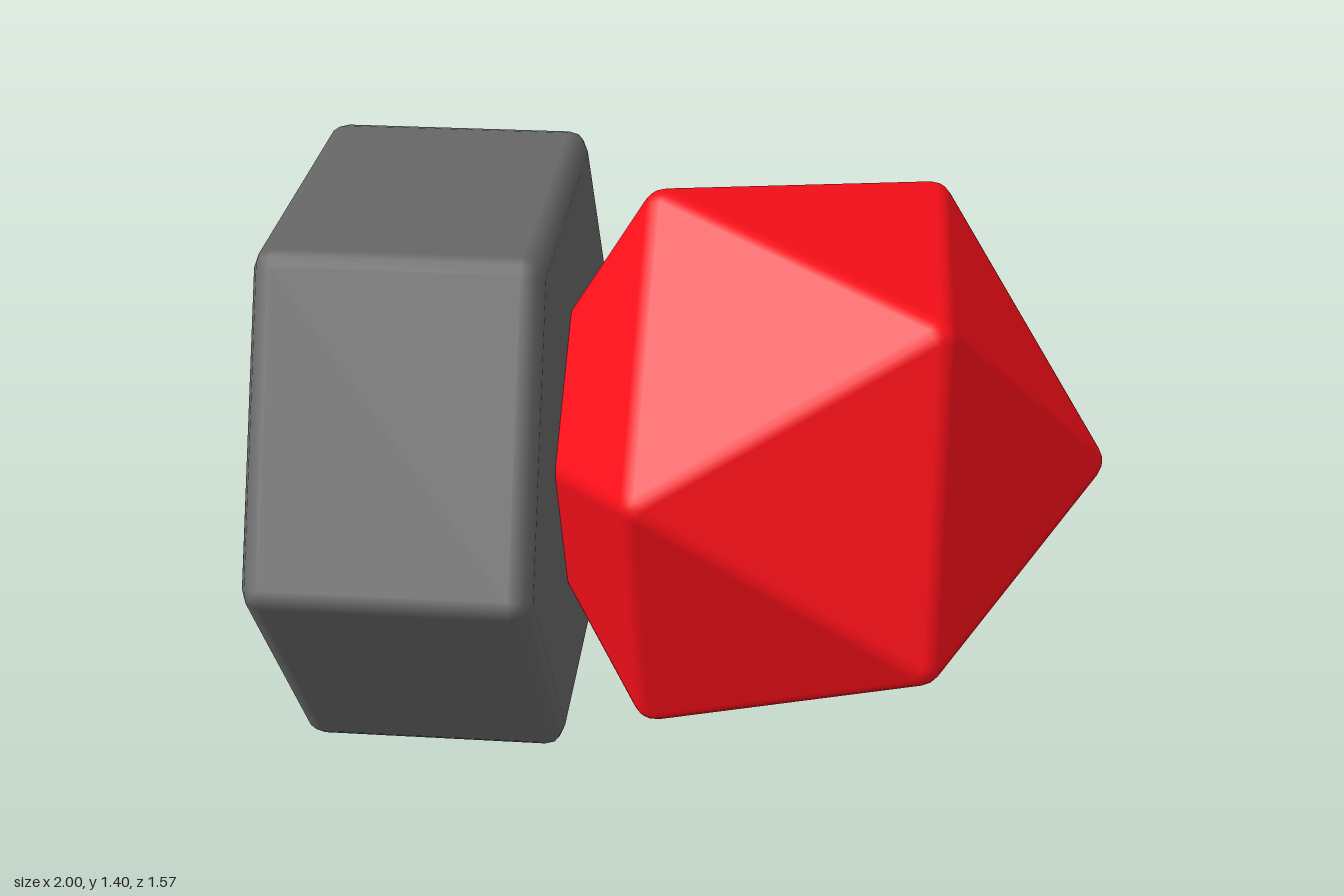
import * as THREE from 'three';
import { ConvexGeometry } from 'three/addons/geometries/ConvexGeometry.js';

// Points evenly spaced on a circle around the x axis; angle 0 is +z, PI/2 is +y
function ring(x, radius, count, start) {
  return Array.from({ length: count }, (_, i) => {
    const a = start + (i / count) * Math.PI * 2;
    return new THREE.Vector3(x, radius * Math.sin(a), radius * Math.cos(a));
  });
}

// Convex solid with rounded edges: each core corner gets a patch of a small ball
// spanning the normals of the faces that meet there
function roundedSolid(corners, normals, radius) {
  const points = [];
  const touching = corners.map(() => []);
  for (const n of normals) {
    const reach = Math.max(...corners.map((c) => c.dot(n)));
    corners.forEach((c, i) => {
      if (c.dot(n) > reach - 1e-3) touching[i].push(n);
    });
  }
  corners.forEach((c, i) => {
    const faces = touching[i];
    const dirs = [faces.reduce((sum, n) => sum.add(n), new THREE.Vector3())];
    faces.forEach((a, j) => faces.slice(j).forEach((b) => dirs.push(a.clone().add(b))));
    for (const d of dirs) points.push(d.normalize().multiplyScalar(radius).add(c));
  });

  // Smooth normals point away from the nearest core corner
  const geometry = new ConvexGeometry(points);
  const { position, normal } = geometry.attributes;
  const p = new THREE.Vector3();
  for (let i = 0; i < position.count; i++) {
    p.fromBufferAttribute(position, i);
    const core = corners.reduce((a, b) => (p.distanceToSquared(b) < p.distanceToSquared(a) ? b : a));
    p.sub(core).normalize();
    normal.setXYZ(i, p.x, p.y, p.z);
  }
  return geometry;
}

function addPart(group, name, geometry, color, x, y) {
  const mesh = new THREE.Mesh(geometry, new THREE.MeshStandardMaterial({ color }));
  mesh.name = name;
  mesh.position.set(x, y, 0);
  group.add(mesh);
}

export function createModel() {
  const group = new THREE.Group();
  group.name = 'hexagonalBaseWithGem';
  const axis = new THREE.Vector3(1, 0, 0);
  const tips = (r) => [axis.clone().multiplyScalar(r), axis.clone().multiplyScalar(-r)];

  // Hexagonal block lying along x
  const half = 0.285;
  const hexCorners = [half, -half].flatMap((x) => ring(x, 0.733, 6, 0));
  const hexNormals = [...tips(1), ...ring(0, 1, 6, Math.PI / 6)];
  addPart(group, 'hexagonalBlock', roundedSolid(hexCorners, hexNormals, 0.05), 0x666666, -0.665, 0.705);

  // Icosahedron with its tips on the x axis, one tip sunk in the block
  const R = 0.714;
  const ringX = R / Math.sqrt(5);
  const down = -Math.PI / 2;
  const up = Math.PI / 2;
  const gemCorners = [
    ...tips(R),
    ...ring(ringX, 2 * ringX, 5, down),
    ...ring(-ringX, 2 * ringX, 5, up),
  ];
  const gemNormals = [0.7947, 0.1876].flatMap((x) => {
    const r = Math.sqrt(1 - x * x);
    return [...ring(x, r, 5, up), ...ring(-x, r, 5, down)];
  });
  addPart(group, 'icosahedronGem', roundedSolid(gemCorners, gemNormals, 0.06), 0xfa0f19, 0.226, 0.703);

  return group;
}
